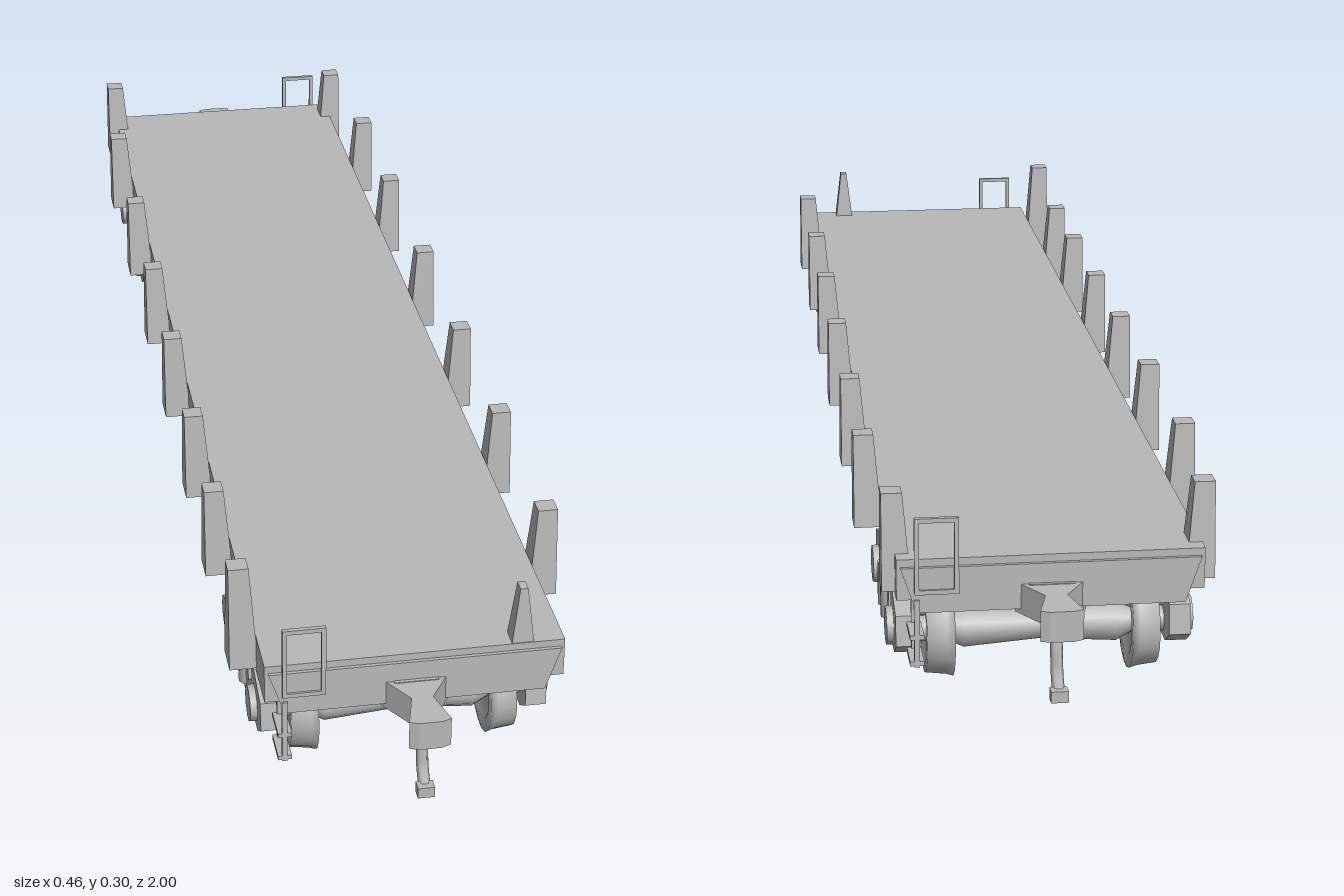
import * as THREE from 'three';

const steel = new THREE.MeshStandardMaterial({ color: 0xb8b8b8 });
steel.name = 'grey steel';

function add(parent, name, geometry, x = 0, y = 0, z = 0) {
  const m = new THREE.Mesh(geometry, steel);
  m.name = name;
  m.position.set(x, y, z);
  parent.add(m);
  return m;
}

const box = (parent, name, w, h, d, x, y, z) =>
  add(parent, name, new THREE.BoxGeometry(w, h, d), x, y, z);

// box whose upper face is narrowed by tx and tz and shifted sideways
function taperedBox(w, h, d, tx, tz, shift = 0) {
  const g = new THREE.BoxGeometry(w, h, d);
  const p = g.attributes.position;
  for (let i = 0; i < p.count; i++) {
    if (p.getY(i) > 0) p.setXYZ(i, p.getX(i) * tx + shift, p.getY(i), p.getZ(i) * tz);
  }
  g.computeVertexNormals();
  return g;
}

// extrude a (z, y) outline across x, centred on x = 0
function sidePlate(shape, thickness) {
  const g = new THREE.ExtrudeGeometry(shape, { depth: thickness, bevelEnabled: false });
  g.translate(0, 0, -thickness / 2);
  g.rotateY(-Math.PI / 2);
  return g;
}

const points = pts => pts.map(([a, b]) => new THREE.Vector2(a, b));
const outline = pts => new THREE.Shape(points(pts));

// truck with two wheelsets, pierced side frames and a bolster
function makeTruck() {
  const truck = new THREE.Group();
  truck.name = 'truck';
  const axle = new THREE.LatheGeometry(points(
    [[0.017, -0.19], [0.017, -0.12], [0.027, -0.1], [0.02, 0], [0.027, 0.1], [0.017, 0.12], [0.017, 0.19]]), 12);
  axle.rotateZ(Math.PI / 2);
  const wheel = new THREE.LatheGeometry(points(
    [[0, -0.014], [0.04, -0.012], [0.046, -0.018], [0.058, -0.018], [0.061, 0.008], [0.064, 0.018], [0.046, 0.018], [0.04, 0.01], [0, 0.014]]), 18);
  wheel.rotateZ(Math.PI / 2);
  const journal = new THREE.CylinderGeometry(0.025, 0.029, 0.034, 10);
  journal.rotateZ(-Math.PI / 2);

  const half = [[0.05, 0.036], [0.075, 0.055], [0.1, 0.045], [0.135, 0.045], [0.165, 0.065], [0.16, 0.105], [0.115, 0.118], [0.075, 0.137]];
  const frame = outline([...half, ...half.map(([a, b]) => [-a, b]).reverse()]);
  for (const s of [-1, 1]) {
    frame.holes.push(new THREE.Path(points(
      [[0.046, 0.115], [0.08, 0.108], [0.085, 0.092], [0.055, 0.072]].map(([a, b]) => [a * s, b]))));
  }
  const frameGeo = sidePlate(frame, 0.028);
  const spring = new THREE.CylinderGeometry(0.014, 0.014, 0.06, 10);

  for (const z of [-0.11, 0.11]) {
    add(truck, 'axle', axle, 0, 0.067, z);
    for (const s of [-1, 1]) {
      add(truck, 'wheel', wheel, s * 0.133, 0.067, z).rotation.y = s < 0 ? Math.PI : 0;
      add(truck, 'journalBox', journal, s * 0.183, 0.073, z).rotation.y = s < 0 ? Math.PI : 0;
    }
  }
  for (const s of [-1, 1]) {
    add(truck, 'sideFrame', frameGeo, s * 0.177, 0, 0);
    for (const z of [-0.022, 0.022]) add(truck, 'spring', spring, s * 0.186, 0.08, z);
    box(truck, 'sideBearing', 0.04, 0.06, 0.05, s * 0.09, 0.1, 0);
  }
  box(truck, 'bolster', 0.34, 0.036, 0.07, 0, 0.068, 0);
  return truck;
}

// coupler, hose, grab rail and step; reused turned round at the back
function makeEndGear() {
  const end = new THREE.Group();
  end.name = 'endGear';
  const shank = outline([[-0.045, 0.895], [-0.014, 0.945], [-0.027, 0.995], [-0.015, 1], [0.015, 1], [0.027, 0.995], [0.014, 0.945], [0.045, 0.895]]);
  const g = new THREE.ExtrudeGeometry(shank, { depth: 0.04, bevelEnabled: false });
  g.rotateX(Math.PI / 2);
  add(end, 'coupler', g, 0, 0.17, 0);
  const hose = new THREE.CatmullRomCurve3([
    [0, 0.135, 0.92], [0, 0.11, 0.945], [0, 0.07, 0.955], [0, 0.045, 0.975]
  ].map(p => new THREE.Vector3(...p)));
  add(end, 'airHose', new THREE.TubeGeometry(hose, 10, 0.008, 6));
  box(end, 'hoseFitting', 0.022, 0.015, 0.016, 0, 0.049, 0.975);

  // grab rail on the right corner
  for (const x of [-0.17, -0.12]) box(end, 'grabRailPost', 0.006, 0.1, 0.006, x, 0.212, 0.905);
  box(end, 'grabRailTop', 0.056, 0.006, 0.006, -0.145, 0.26, 0.905);
  box(end, 'grabRailFoot', 0.056, 0.006, 0.006, -0.145, 0.165, 0.905);

  // hanging corner step
  for (const z of [0.862, 0.905]) box(end, 'stepHanger', 0.007, 0.09, 0.006, -0.17, 0.11, z);
  for (const y of [0.07, 0.105]) box(end, 'stepTread', 0.018, 0.006, 0.048, -0.17, y, 0.884);
  return end;
}

export function createModel() {
  const car = new THREE.Group();
  car.name = 'flatcar';

  // deck and sills
  box(car, 'deck', 0.39, 0.02, 1.8, 0, 0.197, 0);
  for (const s of [-1, 1]) {
    box(car, 'sideSill', 0.022, 0.048, 1.8, s * 0.184, 0.177, 0);
    add(car, 'endSill', taperedBox(0.34, 0.06, 0.05, 1.12, 1), 0, 0.167, s * 0.88);
    box(car, 'drawPocket', 0.058, 0.042, 0.05, 0, 0.15, s * 0.885);
    box(car, 'bodyBolster', 0.34, 0.035, 0.08, 0, 0.147, s * 0.675);
    box(car, 'drawSill', 0.17, 0.045, 0.34, 0, 0.145, s * 0.69);
  }
  box(car, 'centerSill', 0.18, 0.045, 1.74, 0, 0.17, 0);

  // fish-belly beams, leaning outward towards the deck edge
  const belly = outline([[-0.56, 0.158], [-0.5, 0.128], [-0.27, 0.08], [-0.1, 0.072], [0.1, 0.072], [0.27, 0.08], [0.5, 0.128], [0.56, 0.158]]);
  for (const s of [-1, 1]) {
    const g = sidePlate(belly, 0.022);
    const p = g.attributes.position;
    for (let i = 0; i < p.count; i++) p.setX(i, p.getX(i) + s * (0.12 + (p.getY(i) - 0.072) * 0.6));
    g.computeVertexNormals();
    add(car, 'bellyBeam', g);
  }

  // side stakes, upright outside and tapered inside
  const stakeRows = {
    '-1': [-0.86, -0.63, -0.36, -0.11, 0.13, 0.37, 0.58, 0.81],
    '1': [-0.86, -0.63, -0.38, -0.1, 0.17, 0.43, 0.7]
  };
  for (const side of [-1, 1]) {
    const stakeGeo = taperedBox(0.038, 0.127, 0.044, 0.7, 0.6, side * 0.005);
    for (const z of stakeRows[side]) {
      const x = side * (z === -0.86 ? 0.193 : 0.211);
      const stake = add(car, 'stake', stakeGeo, x, 0.222, z);
      if (z === 0.81) {
        stake.scale.y = 1.15;
        stake.position.y = 0.233;
      }
    }
  }
  add(car, 'endUpright', taperedBox(0.034, 0.1, 0.03, 0.3, 0.6), 0.14, 0.235, 0.885);

  // running gear and ends
  for (const s of [1, -1]) {
    const truck = makeTruck();
    truck.position.z = s * 0.675;
    car.add(truck);
    const end = makeEndGear();
    if (s < 0) end.rotation.y = Math.PI;
    car.add(end);
  }
  return car;
}
